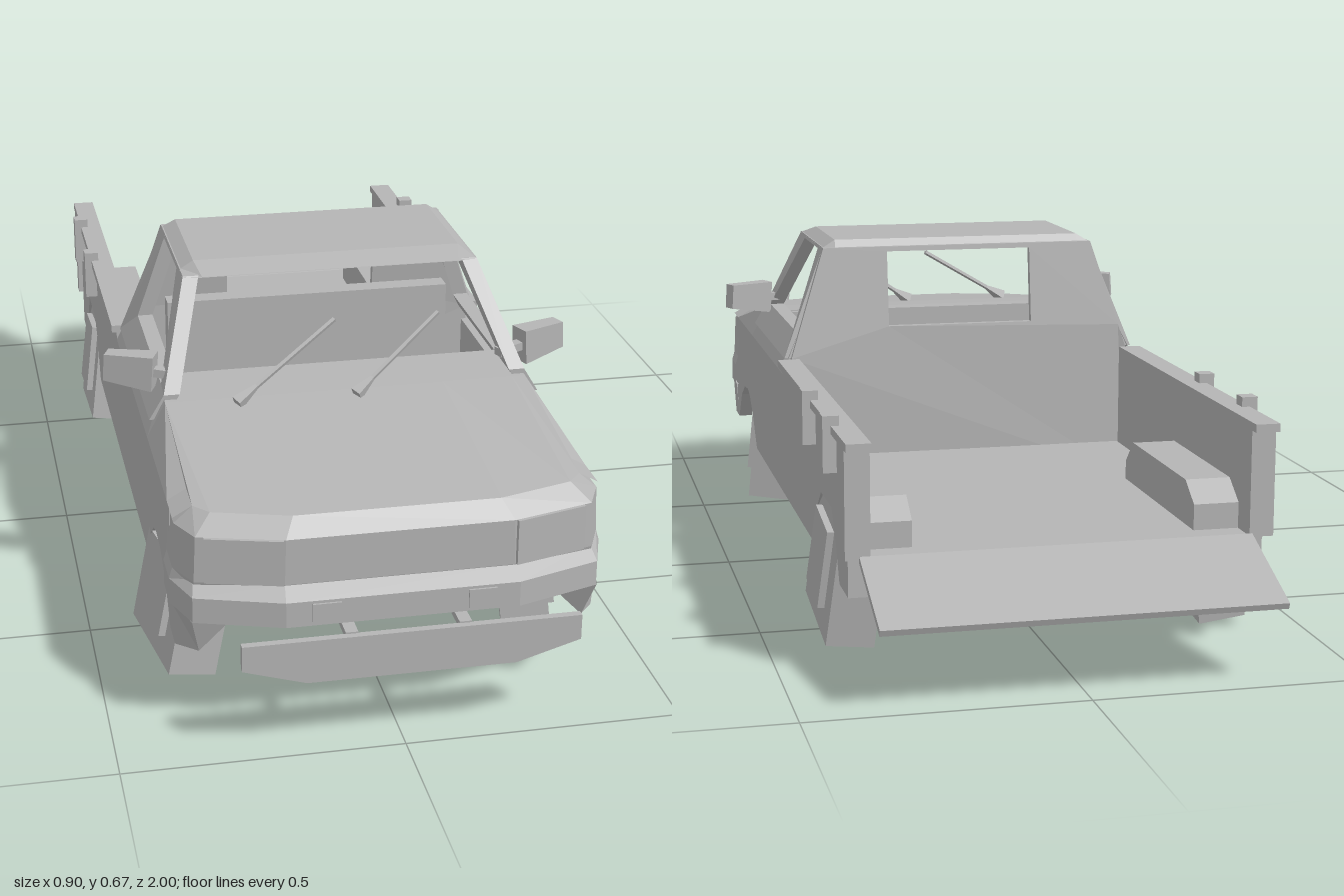
import * as THREE from 'three';

const paint = new THREE.MeshStandardMaterial({ color: 0xb4b4b4, side: THREE.DoubleSide, flatShading: true });
paint.name = 'grey';

export function createModel() {
  const model = new THREE.Group();
  const V = (x, y, z) => new THREE.Vector3(x, y, z);

  const add = (name, geo, parent = model) => {
    const m = new THREE.Mesh(geo, paint);
    m.name = name;
    parent.add(m);
    return m;
  };
  // box given by its lower and upper corners
  const box = (name, x0, x1, y0, y1, z0, z1, parent) => {
    const m = add(name, new THREE.BoxGeometry(x1 - x0, y1 - y0, z1 - z0), parent);
    m.position.set((x0 + x1) / 2, (y0 + y1) / 2, (z0 + z1) / 2);
    return m;
  };
  // surface stretched between rows of points
  const loft = (name, rows) => {
    const pos = [];
    for (let r = 0; r + 1 < rows.length; r++) {
      for (let i = 0; i + 1 < rows[r].length; i++) {
        const a = rows[r][i], b = rows[r][i + 1], c = rows[r + 1][i + 1], d = rows[r + 1][i];
        pos.push(...a, ...b, ...c, ...a, ...c, ...d);
      }
    }
    const g = new THREE.BufferGeometry();
    g.setAttribute('position', new THREE.Float32BufferAttribute(pos, 3));
    g.computeVertexNormals();
    return add(name, g);
  };
  // half width of the body at a height
  const halfWidth = (y) => {
    if (y <= 0.42) return 0.38;
    if (y <= 0.477) return 0.38 - (y - 0.42) * 0.6;
    return 0.345 - (y - 0.477) * 0.33;
  };
  // side panel from a (z, y) outline, following the body width
  const panel = (name, s, outline, depth, hole) => {
    const toPts = (l) => l.map(([z, y]) => new THREE.Vector2(z, y));
    const shape = new THREE.Shape(toPts(outline));
    if (hole) shape.holes.push(new THREE.Path(toPts(hole)));
    const g = new THREE.ExtrudeGeometry(shape, { depth, bevelEnabled: false });
    const p = g.attributes.position;
    for (let i = 0; i < p.count; i++) {
      const z = p.getX(i), y = p.getY(i), d = p.getZ(i);
      p.setXYZ(i, s * (halfWidth(y) - d), y, z);
    }
    g.computeVertexNormals();
    return add(name, g);
  };

  // sides of the body, cab frame, bed rails
  for (const s of [1, -1]) {
    panel('frontSide', s, [[0, 0.145], [0.45, 0.145], [0.515, 0.21], [0.565, 0.245], [0.6, 0.256], [0.66, 0.25],
      [0.72, 0.22], [0.78, 0.155], [0.8, 0.155], [0.8, 0.4], [0, 0.4]], 0.03);
    panel('bedSide', s, [[0, 0.145], [-0.4, 0.145], [-0.445, 0.23], [-0.49, 0.266], [-0.61, 0.266], [-0.655, 0.21],
      [-0.69, 0.145], [-0.78, 0.145], [-0.78, 0.22], [-0.81, 0.22], [-0.81, 0.42], [0, 0.42]], 0.035);
    loft('shoulder', [
      [[s * 0.38, 0.4, 0.84], [s * 0.38, 0.4, 0.77], [s * 0.38, 0.4, 0.5], [s * 0.38, 0.4, 0.45], [s * 0.38, 0.4, 0]],
      [[s * 0.345, 0.42, 0.84], [s * 0.345, 0.42, 0.77], [s * 0.345, 0.467, 0.5], [s * 0.345, 0.477, 0.45], [s * 0.345, 0.477, 0.02]],
    ]);
    panel('cabFrame', s, [[0.49, 0.477], [0.345, 0.655], [0.045, 0.655], [0.015, 0.43], [0.49, 0.43]], 0.03,
      [[0.44, 0.48], [0.275, 0.648], [0.095, 0.648], [0.08, 0.48]]);
    const [r0, r1] = s > 0 ? [0.345, 0.39] : [-0.39, -0.345];
    box('bedRail', r0, r1, 0.415, 0.43, -0.83, 0.0);
    box('bedPost', r0, r1, 0.22, 0.42, -0.81, -0.78);
    for (const z of [-0.422, -0.66]) {
      const [b0, b1] = s > 0 ? [0.375, 0.405] : [-0.405, -0.375];
      box('railBracket', b0, b1, 0.345, 0.448, z - 0.015, z + 0.015);
    }
    // wheel housing in the bed
    const hs = new THREE.Shape([[-0.75, 0.2], [-0.33, 0.2], [-0.335, 0.26], [-0.38, 0.305], [-0.7, 0.305], [-0.75, 0.27]]
      .map(([z, y]) => new THREE.Vector2(z, y)));
    const hg = new THREE.ExtrudeGeometry(hs, { depth: 0.085, bevelEnabled: false });
    hg.rotateY(-Math.PI / 2);
    add('wheelHousing', hg).position.x = s > 0 ? 0.345 : -0.26;
    // door mirror
    const mirror = new THREE.Group();
    mirror.name = 'mirror';
    const shell = add('mirrorShell', new THREE.CylinderGeometry(0.032, 0.042, 0.095, 4, 1).rotateY(Math.PI / 4).rotateZ(-Math.PI / 2 * s), mirror);
    shell.scale.set(1, 1.15, 0.7);
    box('mirrorArm', s > 0 ? -0.1 : 0.03, s > 0 ? -0.03 : 0.1, -0.008, 0.008, -0.01, 0.01, mirror);
    mirror.position.set(s * 0.398, 0.504, 0.41);
    mirror.rotation.set(0, s * 0.38, s * 0.07);
    model.add(mirror);
  }

  // nose: bowed outline repeated at several heights
  const level = (y, w, dz, zs = [0.77, 0.84, 0.9, 0.94]) => {
    const half = [[w, zs[0]], [w, zs[1]], [w * 0.925, zs[2] + dz], [w * 0.53, zs[3] + dz]];
    return [...half.map(([x, z]) => [x, y, z]), ...half.reverse().map(([x, z]) => [-x, y, z])];
  };
  const noseTop = level(0.42, 0.345, -0.03);
  loft('nose', [level(0.235, 0.382, -0.02), level(0.305, 0.382, 0), level(0.39, 0.378, 0), noseTop]);
  loft('hood', [noseTop, noseTop.map(([x]) => [x, 0.467, 0.5]), noseTop.map(([x]) => [x, 0.474, 0.38])]);
  const bz = [0.77, 0.84, 0.92, 0.968];
  loft('bumper', [level(0.305, 0.382, -0.03, bz), level(0.285, 0.388, 0, bz), level(0.238, 0.388, 0, bz), level(0.232, 0.37, -0.07, bz)]);
  for (const s of [1, -1]) {
    loft('bumperCorner', [
      [[s * 0.385, 0.238, 0.78], [s * 0.385, 0.238, 0.84], [s * 0.36, 0.238, 0.92], [s * 0.29, 0.235, 0.93]],
      [[s * 0.38, 0.155, 0.78], [s * 0.38, 0.155, 0.84], [s * 0.345, 0.165, 0.89], [s * 0.29, 0.225, 0.9]],
    ]);
    // headlights and indicators
    const lamp = box('headlight', -0.068, 0.068, -0.042, 0.042, -0.004, 0.004);
    lamp.position.set(s * 0.27, 0.348, 0.924);
    lamp.rotation.y = s * 0.265;
    box('indicator', s * 0.137 + 0.002 - 0.025, s * 0.137 + 0.002 + 0.025, 0.245, 0.28, 0.965, 0.972);
    box('skidStrut', s * 0.1 - 0.006, s * 0.1 + 0.016, 0.215, 0.228, 0.85, 0.985);
  }
  // lower front plate
  const skid = new THREE.Shape([[-0.287, 0.225], [-0.287, 0.178], [-0.175, 0.144], [0.195, 0.144], [0.31, 0.178], [0.31, 0.225]]
    .map(([x, y]) => new THREE.Vector2(x, y)));
  add('skidPlate', new THREE.ExtrudeGeometry(skid, { depth: 0.014, bevelEnabled: false })).position.z = 0.983;

  // roof
  const roofRow = (z, top, yTop, edge) => [[edge, 0.653, z], [top, yTop, z], [-top, yTop, z], [-edge, 0.653, z]];
  loft('roof', [
    [[0.287, 0.653, 0.347], [0.25, 0.653, 0.35], [-0.25, 0.653, 0.35], [-0.287, 0.653, 0.347]],
    roofRow(0.3, 0.26, 0.67, 0.287), roofRow(0.05, 0.26, 0.67, 0.287), roofRow(0.042, 0.26, 0.653, 0.287),
  ]);
  loft('roofLining', [[[0.28, 0.65, 0.345], [-0.28, 0.65, 0.345]], [[0.28, 0.65, 0.05], [-0.28, 0.65, 0.05]]]);

  // rear wall of the cab with its window
  const poly = (l) => l.map(([x, y]) => new THREE.Vector2(x, y));
  const wall = new THREE.Shape(poly([[-0.36, 0.15], [0.36, 0.15], [0.36, 0.43], [0.345, 0.477], [0.287, 0.655], [-0.287, 0.655], [-0.345, 0.477], [-0.36, 0.43]]));
  wall.holes.push(new THREE.Path(poly([[-0.153, 0.49], [-0.153, 0.645], [0.153, 0.645], [0.153, 0.49]])));
  const wallGeo = new THREE.ExtrudeGeometry(wall, { depth: 0.015, bevelEnabled: false });
  const wp = wallGeo.attributes.position;
  for (let i = 0; i < wp.count; i++) wp.setZ(i, wp.getZ(i) + 0.005 + Math.max(0, wp.getY(i) - 0.43) * 0.12);
  wallGeo.computeVertexNormals();
  add('cabRearWall', wallGeo);

  // seat, floors, bulkhead
  box('seatBack', -0.288, 0.288, 0.25, 0.518, 0.08, 0.12);
  box('seatCushion', -0.288, 0.288, 0.2, 0.3, 0.1, 0.32);
  box('cabFloor', -0.36, 0.36, 0.145, 0.155, -0.4, 0.45);
  box('bedFloor', -0.35, 0.35, 0.2, 0.222, -0.81, 0.01);
  box('firewall', -0.35, 0.35, 0.15, 0.46, 0.44, 0.45);

  // lowered tailgate
  const gate = box('tailgate', -0.35, 0.365, -0.006, 0.006, -0.102, 0.102);
  gate.position.set(0, 0.184, -0.903);
  gate.position.x = 0.0075;
  gate.rotation.x = -0.375;

  // wipers
  const rod = (name, a, b, r0, r1) => {
    const d = b.clone().sub(a);
    const m = add(name, new THREE.CylinderGeometry(r1, r0, d.length(), 4));
    m.position.copy(a).addScaledVector(d, 0.5);
    m.quaternion.setFromUnitVectors(V(0, 1, 0), d.normalize());
  };
  for (const [x, len] of [[-0.215, 0.2], [0.01, 0.175]]) {
    const a = V(x, 0.468, 0.53), b = V(x + len, 0.587, 0.445);
    rod('wiperArm', a, b, 0.005, 0.005);
    rod('wiperBase', a, a.clone().lerp(b, 0.22), 0.015, 0.004);
  }

  // blocky wheels, each leaning its own way: centre, up, forward
  const wheels = [
    ['frontWheelLeft', V(0.309, 0.147, 0.618), V(-0.089, 0.988, -0.137), V(-0.234, 0.113, 0.967)],
    ['frontWheelRight', V(-0.33, 0.147, 0.61), V(0.2, 0.97, 0), V(0.15, 0, 0.98)],
    ['rearWheelLeft', V(0.34, 0.152, -0.54), V(-0.11, 0.98, -0.15), V(0, 0.15, 0.98)],
    ['rearWheelRight', V(-0.34, 0.152, -0.54), V(0.13, 0.98, -0.1), V(0, 0.1, 0.98)],
  ];
  for (const [name, centre, up, fwd] of wheels) {
    const g = new THREE.Group();
    g.name = name;
    const side = Math.sign(centre.x);
    const f = fwd.normalize(), a = up.clone().cross(f).normalize();
    g.quaternion.setFromRotationMatrix(new THREE.Matrix4().makeBasis(a, f.clone().cross(a), f));
    g.position.copy(centre);
    box('tyre', -0.045, 0.045, -0.125, 0.125, -0.12, 0.12, g);
    const hub = box('hub', -0.008, 0.008, -0.075, 0.075, -0.066, 0.066, g);
    hub.position.x = side * 0.05;
    model.add(g);
  }

  // axles and differential
  box('frontAxle', -0.27, 0.27, 0.128, 0.15, 0.58, 0.61);
  box('frontCrossmember', -0.12, 0.12, 0.14, 0.165, 0.66, 0.69);
  box('rearAxle', -0.3, 0.3, 0.135, 0.155, -0.55, -0.53);
  box('differential', -0.04, 0.077, 0.1, 0.165, -0.59, -0.49);
  return model;
}
